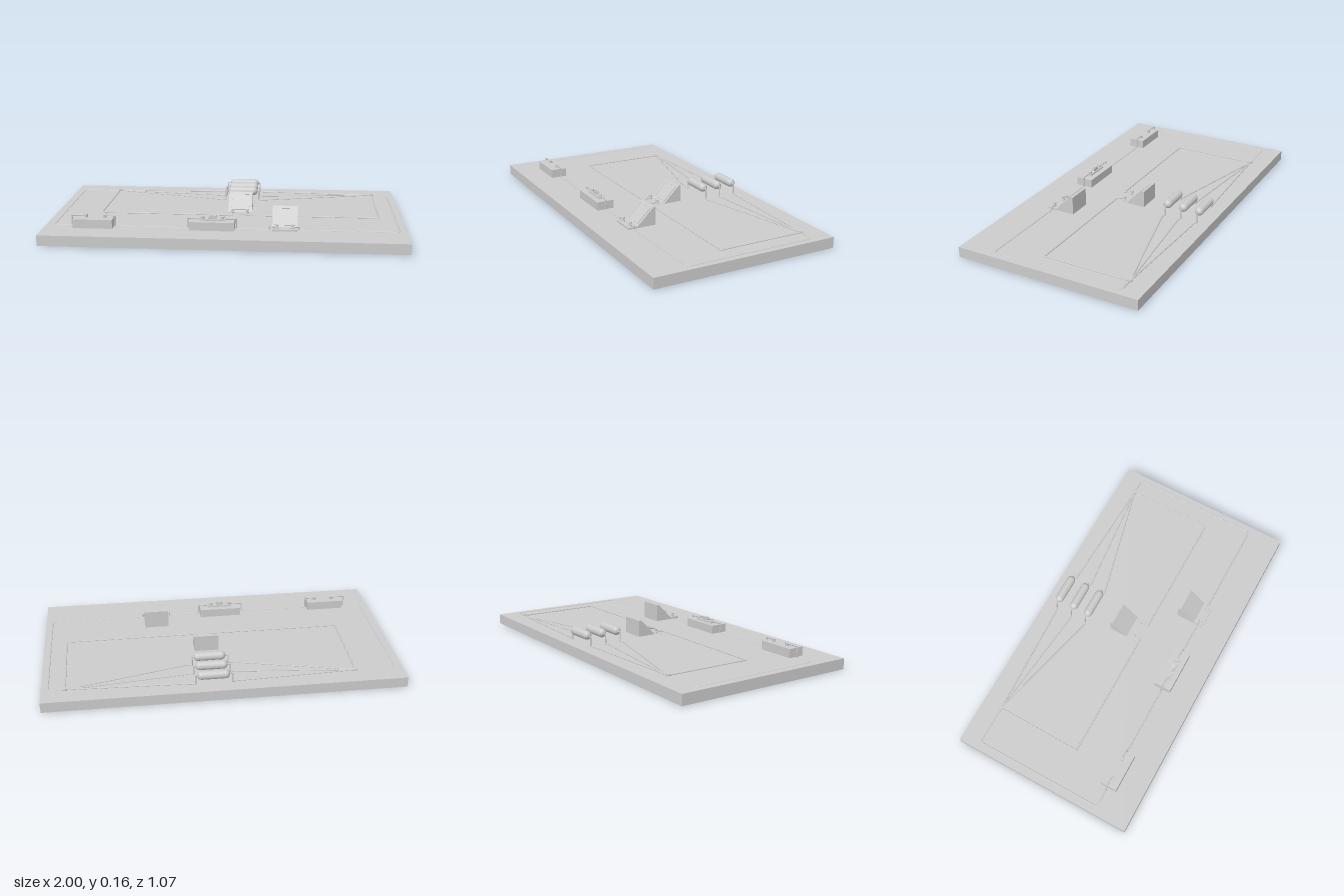
import * as THREE from 'three';

const material = new THREE.MeshStandardMaterial({ color: 0xcccccc, side: THREE.DoubleSide });
const TOP = 0.06; // upper face of the board
const WIRE = 0.062; // height of wires lying on the board
const R = 0.004;

function add(parent, name, geometry, x = 0, y = 0, z = 0) {
  const mesh = new THREE.Mesh(geometry, material);
  mesh.name = name;
  mesh.position.set(x, y, z);
  parent.add(mesh);
  return mesh;
}

function group(parent, name, x = 0, y = 0, z = 0) {
  const g = new THREE.Group();
  g.name = name;
  g.position.set(x, y, z);
  parent.add(g);
  return g;
}

const box = (w, h, d) => new THREE.BoxGeometry(w, h, d);
const rod = (r, h, n = 16) => new THREE.CylinderGeometry(r, r, h, n);

// Wire of straight runs with round elbows
function wire(parent, name, points) {
  const g = group(parent, name);
  const p = points.map((a) => new THREE.Vector3(...a));
  for (let i = 1; i < p.length; i++) {
    const dir = p[i].clone().sub(p[i - 1]);
    const run = add(g, 'wireRun', rod(R, dir.length(), 10));
    run.position.copy(p[i]).add(p[i - 1]).multiplyScalar(0.5);
    run.quaternion.setFromUnitVectors(new THREE.Vector3(0, 1, 0), dir.normalize());
    if (i < p.length - 1) add(g, 'wireElbow', new THREE.SphereGeometry(R, 10, 8), ...points[i]);
  }
}

// Screw post with a wider cap, standing on y = 0 of its parent
function terminal(parent, x, y, z) {
  const profile = [[0, 0], [0.011, 0], [0.011, 0.006], [0.006, 0.008], [0.006, 0.014], [0.009, 0.015], [0.009, 0.022], [0, 0.022]];
  const flat = new THREE.LatheGeometry(profile.map((q) => new THREE.Vector2(...q)), 16).toNonIndexed();
  flat.computeVertexNormals();
  add(parent, 'terminal', flat, x, y, z);
}

// Wedge-shaped meter with a sloping display; origin at its back lower edge
function meter(parent, name, x, y, z) {
  const g = group(parent, name, x, y, z);
  const w = 0.14, h = 0.095, lip = 0.014, depth = 0.11;
  const side = new THREE.Shape([[0, 0], [depth, 0], [lip, h], [0, h]].map((q) => new THREE.Vector2(...q)));
  const body = new THREE.ExtrudeGeometry(side, { depth: w, bevelEnabled: false });
  body.rotateY(-Math.PI / 2);
  add(g, 'meterBody', body, w / 2, 0, 0);
  add(g, 'meterBase', box(w, 0.01, 0.165), 0, -0.004, 0.0825);

  // Display frame and scale lie on the slope
  const face = group(g, 'meterFace', 0, h / 2, (lip + depth) / 2);
  face.rotation.x = Math.atan2(depth - lip, h) - Math.PI / 2 - 0.0;
  face.rotation.x = -Math.atan2(depth - lip, h);
  const frame = new THREE.Shape();
  frame.moveTo(-0.056, -0.056).lineTo(0.056, -0.056).lineTo(0.056, 0.056).lineTo(-0.056, 0.056).closePath();
  const hole = new THREE.Path();
  hole.moveTo(-0.05, -0.05).lineTo(-0.05, 0.05).lineTo(0.05, 0.05).lineTo(0.05, -0.05).closePath();
  frame.holes.push(hole);
  add(face, 'displayFrame', new THREE.ExtrudeGeometry(frame, { depth: 0.004, bevelEnabled: false }));
  add(face, 'displayPanel', box(0.1, 0.1, 0.003), 0, 0, 0.0005);
  for (const s of [-1, 1]) terminal(g, s * 0.0425, 0.001, 0.14);
}

export function createModel() {
  const model = new THREE.Group();
  model.name = 'circuitBoard';
  add(model, 'board', box(2, TOP, 1.065), 0, TOP / 2, 0);

  // Battery box
  const battery = group(model, 'batteryBox', -0.725, TOP, 0.342);
  add(battery, 'batteryCase', box(0.22, 0.05, 0.094), 0, 0.025, 0);
  for (const x of [-0.045, 0.06]) add(battery, 'batteryPost', rod(0.01, 0.016), x, 0.058, -0.007);

  // Switch
  const sw = group(model, 'switch', -0.064, TOP, 0.335);
  add(sw, 'switchBase', box(0.246, 0.048, 0.1), 0, 0.024, 0);
  add(sw, 'switchPlate', box(0.14, 0.008, 0.036), 0, 0.052, 0);
  for (const x of [-0.055, 0.055]) add(sw, 'switchPost', rod(0.011, 0.014), x, 0.062, 0);
  const lever = add(sw, 'switchLever', box(0.045, 0.016, 0.018), 0, 0.062, 0);
  lever.rotation.z = 0.2;
  add(sw, 'switchKnob', rod(0.009, 0.02), -0.008, 0.066, 0);

  meter(model, 'seriesMeter', 0.335, 0.068, 0.199);
  meter(model, 'parallelMeter', 0.068, TOP, -0.11);

  // Three resistors side by side, each wired to both junctions
  const left = [-0.73, WIRE, -0.42], right = [0.87, WIRE, -0.42];
  for (const z of [-0.455, -0.358, -0.262]) {
    const capsule = new THREE.CapsuleGeometry(0.025, 0.13, 10, 24);
    capsule.rotateZ(Math.PI / 2);
    add(model, 'resistor', capsule, 0.07, 0.117, z);
    wire(model, 'leftLead', [[0, 0.117, z], [-0.035, 0.117, z], [-0.035, WIRE, z], [-0.055, WIRE, z + 0.008], left]);
    wire(model, 'rightLead', [[0.14, 0.117, z], [0.168, 0.117, z], [0.168, WIRE, z], [0.19, WIRE, z + 0.008], right]);
  }
  for (const p of [left, right]) add(model, 'junction', rod(0.012, 0.012), p[0], 0.064, p[2]);

  // Main loop
  const z = 0.335, low = 0.059;
  wire(model, 'batteryWire', [[-0.77, 0.121, z], [-0.85, 0.121, z], [-0.85, low, z], [-0.94, low, z],
    [-0.955, low, z - 0.015], [-0.955, low, -0.405], [-0.94, low, -0.42], [-0.73, low, -0.42]]);
  wire(model, 'batterySwitchWire', [[-0.665, 0.121, z], [-0.607, 0.121, z], [-0.607, 0.06, z],
    [-0.2, 0.06, z], [-0.2, 0.118, z], [-0.12, 0.118, z]]);
  wire(model, 'switchMeterWire', [[-0.01, 0.118, z], [0.067, 0.118, z], [0.067, 0.06, z], [0.25, 0.06, z],
    [0.25, 0.078, z], [0.293, 0.078, z]]);
  wire(model, 'returnWire', [[0.377, 0.078, z], [0.415, 0.078, z], [0.415, 0.06, z], [0.945, 0.06, z],
    [0.963, 0.06, z - 0.015], [0.963, 0.06, -0.405], [0.945, 0.06, -0.42], right]);

  // Parallel meter branch
  wire(model, 'leftMeterWire', [[0.025, 0.07, 0.03], [0.025, WIRE, 0.08], [-0.737, WIRE, 0.08], left]);
  wire(model, 'rightMeterWire', [[0.11, 0.07, 0.03], [0.11, WIRE, 0.08], [0.872, WIRE, 0.08], right]);
  return model;
}
